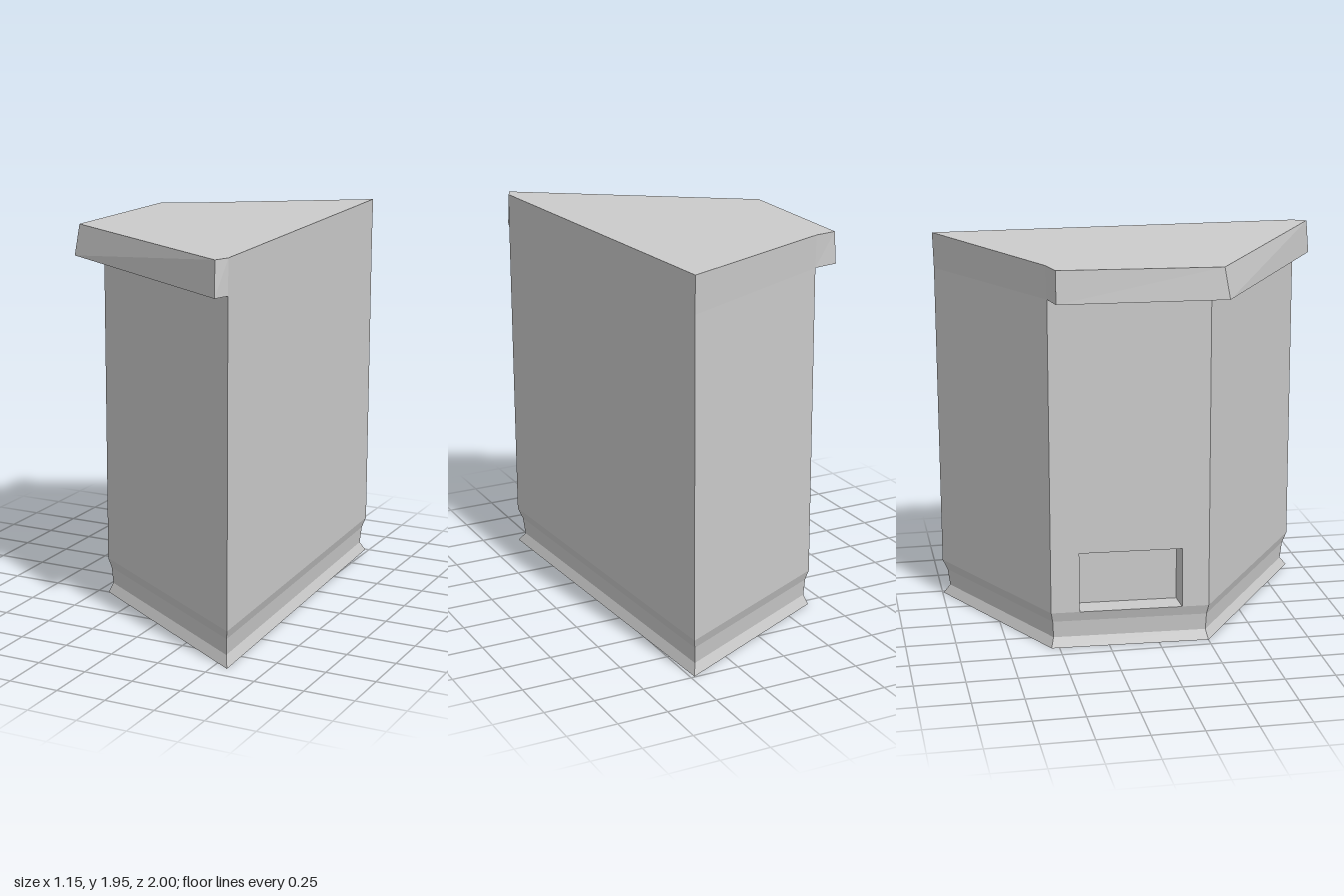
import * as THREE from 'three';

// Plan corners [x, z], anticlockwise seen from above
const A = [0.572, 0.92], B = [0.48, -0.995], C = [-0.41, -0.54], D = [-0.443, 0.25];
const PLAN = [A, B, C, D];

const at = ([x, z], y) => [x, y, z];
const lerp = (p, q, t) => [p[0] + (q[0] - p[0]) * t, p[1] + (q[1] - p[1]) * t];

// Quad with corners anticlockwise seen from its front
const quad = (out, a, b, c, d) => out.push(...a, ...b, ...c, ...a, ...c, ...d);

// Fan over a ring; up decides which way it faces
function cap(out, ring, up) {
  for (let i = 1; i < ring.length - 1; i++) {
    out.push(...ring[0], ...(up ? ring[i] : ring[i + 1]), ...(up ? ring[i + 1] : ring[i]));
  }
}

// Walls between two rings, leaving out one edge if asked
function band(out, low, high, skip = -1) {
  low.forEach((p, i) => {
    const j = (i + 1) % low.length;
    if (i !== skip) quad(out, p, low[j], high[j], high[i]);
  });
}

// Offset every side of the plan inward by d, with mitred corners
function inset(d) {
  return PLAN.map((p, i) => {
    const normal = (a, b) => {
      const dx = b[0] - a[0], dz = b[1] - a[1], l = Math.hypot(dx, dz);
      return [-dz / l, dx / l];
    };
    const n = normal(PLAN[(i + 3) % 4], p), m = normal(p, PLAN[(i + 1) % 4]);
    const k = d / (1 + n[0] * m[0] + n[1] * m[1]);
    return [p[0] - (n[0] + m[0]) * k, p[1] - (n[1] + m[1]) * k];
  });
}

function part(name, positions, material) {
  const g = new THREE.BufferGeometry();
  g.setAttribute('position', new THREE.Float32BufferAttribute(positions, 3));
  g.computeVertexNormals();
  const mesh = new THREE.Mesh(g, material);
  mesh.name = name;
  return mesh;
}

export function createModel() {
  const group = new THREE.Group();
  group.name = 'cornerBlock';
  const material = new THREE.MeshStandardMaterial({ color: 0xcccccc, flatShading: true });
  const EAVE = 1.765, SKIRT = 0.185;

  // Plinth: flared foot, recessed band, chamfer back out to the walls
  const plinth = [];
  const rings = [[0, 0], [0.05, 0.022], [0.135, 0.015], [SKIRT, 0]]
    .map(([y, d]) => inset(d).map((p) => at(p, y)));
  for (let i = 0; i < 3; i++) band(plinth, rings[i], rings[i + 1]);
  cap(plinth, rings[0], false);
  group.add(part('plinth', plinth, material));

  // Walls: three plain sides, the left side is framed around the window niche
  const walls = [];
  band(walls, rings[3], PLAN.map((p) => at(p, EAVE)), 2);
  const T0 = 0.18, T1 = 0.83, HEAD = 0.49;
  const side = (t0, t1, y0, y1) => {
    const p = lerp(C, D, t0), q = lerp(C, D, t1);
    quad(walls, at(p, y0), at(q, y0), at(q, y1), at(p, y1));
  };
  side(0, T0, SKIRT, HEAD);
  side(T1, 1, SKIRT, HEAD);
  side(0, 1, HEAD, EAVE);
  group.add(part('walls', walls, material));

  // Window niche: sill, jambs, head and back panel
  const niche = [];
  const opening = [[T0, SKIRT], [T1, SKIRT], [T1, HEAD], [T0, HEAD]]
    .map(([t, y]) => at(lerp(C, D, t), y));
  const back = opening.map(([x, y, z]) => [x + 0.126, y, z - 0.005]);
  band(niche, opening, back);
  quad(niche, ...back);
  group.add(part('windowNiche', niche, material));

  // Roof slab: flush on the right and back, overhanging the front and left
  const roofY = ([x, z]) => 1.932 + 0.018 * x - 0.0063 * z;
  const low = [C, [-0.54, -0.515], [-0.577, 0.31], [0.545, 1], A, B];
  const high = [[-0.41, -0.545], [-0.53, -0.515], [-0.562, 0.285], [0.54, 0.985],
    [0.572, 0.915], [0.48, -1]];
  const roof = [];
  const lowRing = low.map((p) => at(p, EAVE));
  const highRing = high.map((p) => at(p, roofY(p)));
  band(roof, lowRing, highRing);
  cap(roof, lowRing, false);
  cap(roof, highRing, true);
  group.add(part('roof', roof, material));

  return group;
}
